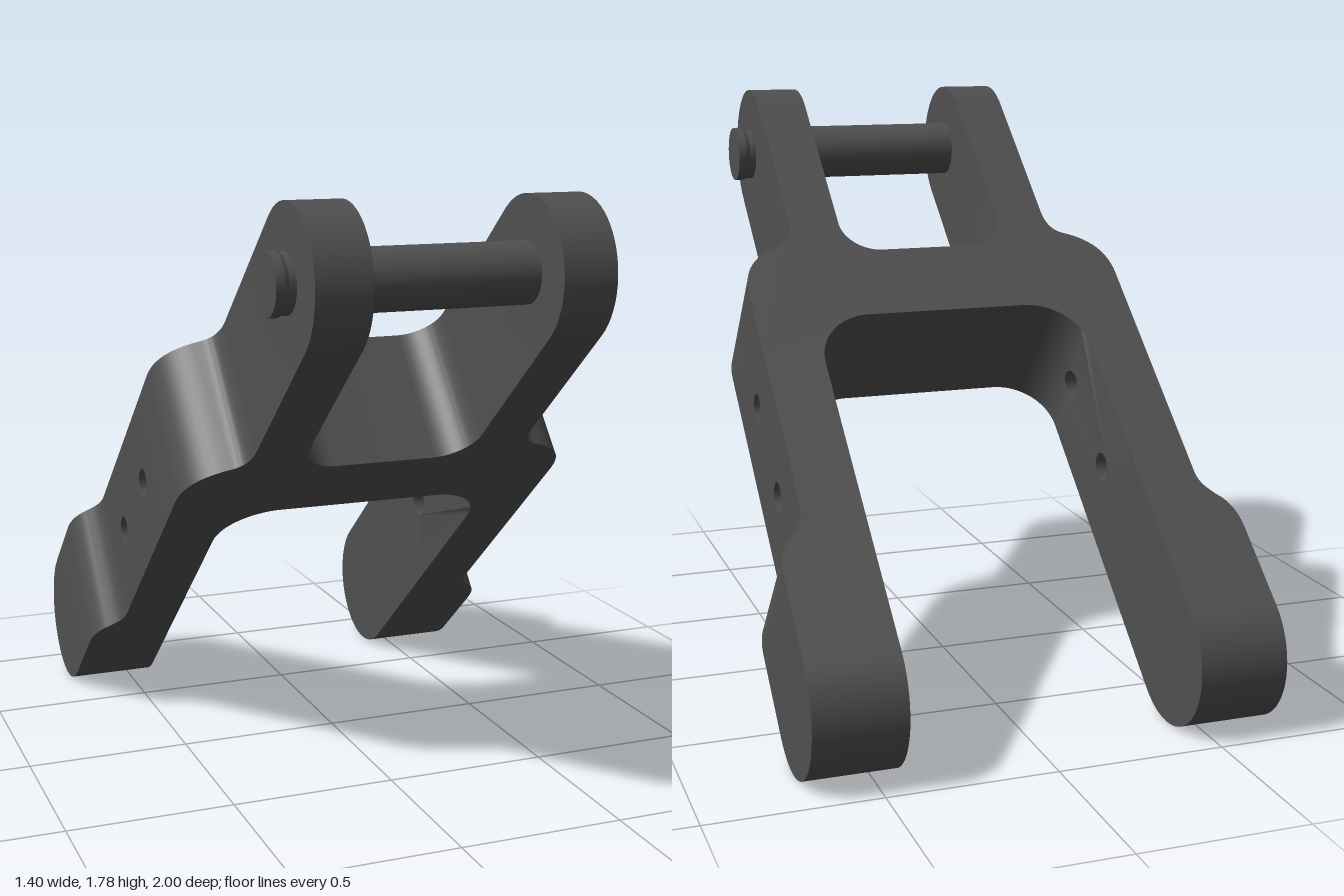
import * as THREE from 'three';
import { toCreasedNormals } from 'three/addons/utils/BufferGeometryUtils.js';

const R = 0.215;      // half thickness and end radius
const END = 1.0335;   // half distance between the two pivot axes
const TILT = 0.862;   // lean of the whole link
const SPLIT = 0.01;   // where the drilled legs meet the yoke
const FILLET = { x: 0.255, s: -0.05, r: 0.175 }; // inner corner between leg and bridge

// Local frame: x = sideways, y = along the link, z = through its thickness.
function extrudePlan(points) {
  const geo = new THREE.ExtrudeGeometry(new THREE.Shape(points), { depth: 2 * R, bevelEnabled: false });
  geo.translate(0, 0, -R);
  return toCreasedNormals(geo, 0.5);
}

// Bridge and upper arms, as one mirrored outline
function yokeGeometry() {
  const p = new THREE.Path();
  p.moveTo(0, FILLET.s + FILLET.r);
  p.lineTo(FILLET.x, FILLET.s + FILLET.r);
  p.absarc(FILLET.x, FILLET.s, FILLET.r, Math.PI / 2, Math.asin((SPLIT - FILLET.s) / FILLET.r), true);
  p.lineTo(0.61, SPLIT);
  p.lineTo(0.61, 0.24);
  p.bezierCurveTo(0.61, 0.32, 0.575, 0.385, 0.48, 0.42);
  p.bezierCurveTo(0.45, 0.433, 0.43, 0.46, 0.43, 0.52);
  p.lineTo(0.43, END);
  p.lineTo(0.27, END);
  p.lineTo(0.27, 0.505);
  p.absarc(0.15, 0.505, 0.12, 0, -Math.PI / 2, true);
  p.lineTo(0, 0.385);
  const half = p.getPoints(12);
  const mirrored = half.slice(1, -1).reverse().map(v => new THREE.Vector2(-v.x, v.y));
  return extrudePlan([...half, ...mirrored]);
}

// Straight leg section with two cross holes
function drilledLegGeometry() {
  const stops = [-0.5, -0.05, -0.03, -0.01, SPLIT];
  const shape = new THREE.Shape([
    ...stops.map(s => new THREE.Vector2(s, -R)),
    ...stops.slice().reverse().map(s => new THREE.Vector2(s, R)),
  ]);
  for (const s of [-0.0445, -0.371]) {
    const hole = new THREE.Path();
    hole.absarc(s, 0, 0.045, 0, Math.PI * 2, true);
    shape.holes.push(hole);
  }
  const geo = new THREE.ExtrudeGeometry(shape, { depth: 0.18, bevelEnabled: false, curveSegments: 12 });
  geo.applyMatrix4(new THREE.Matrix4().makeBasis(
    new THREE.Vector3(0, 1, 0), new THREE.Vector3(0, 0, 1), new THREE.Vector3(1, 0, 0)));
  geo.translate(0.43, 0, 0);
  // bend the inner face onto the corner fillet
  const pos = geo.attributes.position;
  for (let i = 0; i < pos.count; i++) {
    const d = pos.getY(i) - FILLET.s;
    if (pos.getX(i) < 0.5 && d > 0) pos.setX(i, FILLET.x + Math.sqrt(FILLET.r ** 2 - d * d));
  }
  return toCreasedNormals(geo, 0.5);
}

// Thickened foot of a leg
function footGeometry() {
  const p = new THREE.Path();
  p.moveTo(0.43, -0.5);
  p.lineTo(0.43, -END);
  p.lineTo(0.70, -END);
  p.lineTo(0.70, -0.77);
  p.bezierCurveTo(0.70, -0.71, 0.685, -0.67, 0.65, -0.64);
  p.bezierCurveTo(0.63, -0.615, 0.61, -0.60, 0.61, -0.55);
  p.lineTo(0.61, -0.5);
  return extrudePlan(p.getPoints(10));
}

// Half-round end between two x positions
function roundEndGeometry(x0, x1, s, start) {
  const geo = new THREE.CylinderGeometry(R, R, x1 - x0, 28, 1, false, start, Math.PI);
  geo.rotateZ(Math.PI / 2);
  geo.translate((x0 + x1) / 2, s, 0);
  return geo;
}

// Cross pin with a shallow groove behind each head
function pinGeometry() {
  const side = [[0, 0.488], [0.088, 0.488], [0.088, 0.462], [0.083, 0.45], [0.083, 0.42], [0.088, 0.42]];
  const profile = [
    ...side.map(([r, y]) => new THREE.Vector2(r, -y)),
    ...side.slice().reverse().map(([r, y]) => new THREE.Vector2(r, y)),
  ];
  const geo = toCreasedNormals(new THREE.LatheGeometry(profile, 32), 0.35);
  geo.rotateZ(Math.PI / 2);
  geo.translate(0, END, 0);
  return geo;
}

export function createModel() {
  const darkSteel = new THREE.MeshStandardMaterial({ color: 0x505050 });
  darkSteel.name = 'darkSteel';

  const link = new THREE.Group();
  link.name = 'clevisLink';
  const add = (parent, name, geo) => {
    const mesh = new THREE.Mesh(geo, darkSteel);
    mesh.name = name;
    parent.add(mesh);
  };

  add(link, 'yoke', yokeGeometry());
  add(link, 'crossPin', pinGeometry());

  // The half turn gives the opposite side, as each part is symmetric through its thickness
  const parts = {
    drilledLeg: drilledLegGeometry(),
    foot: footGeometry(),
    footRoundEnd: roundEndGeometry(0.43, 0.70, -END, Math.PI),
    armRoundEnd: roundEndGeometry(0.27, 0.43, END, 0),
  };
  for (const [name, turn] of [['leftSide', 0], ['rightSide', Math.PI]]) {
    const side = new THREE.Group();
    side.name = name;
    side.rotation.y = turn;
    for (const [part, geo] of Object.entries(parts)) add(side, part, geo);
    link.add(side);
  }

  link.rotation.x = TILT;
  link.position.y = 0.8875;
  const model = new THREE.Group();
  model.name = 'pinnedFork';
  model.add(link);
  return model;
}
